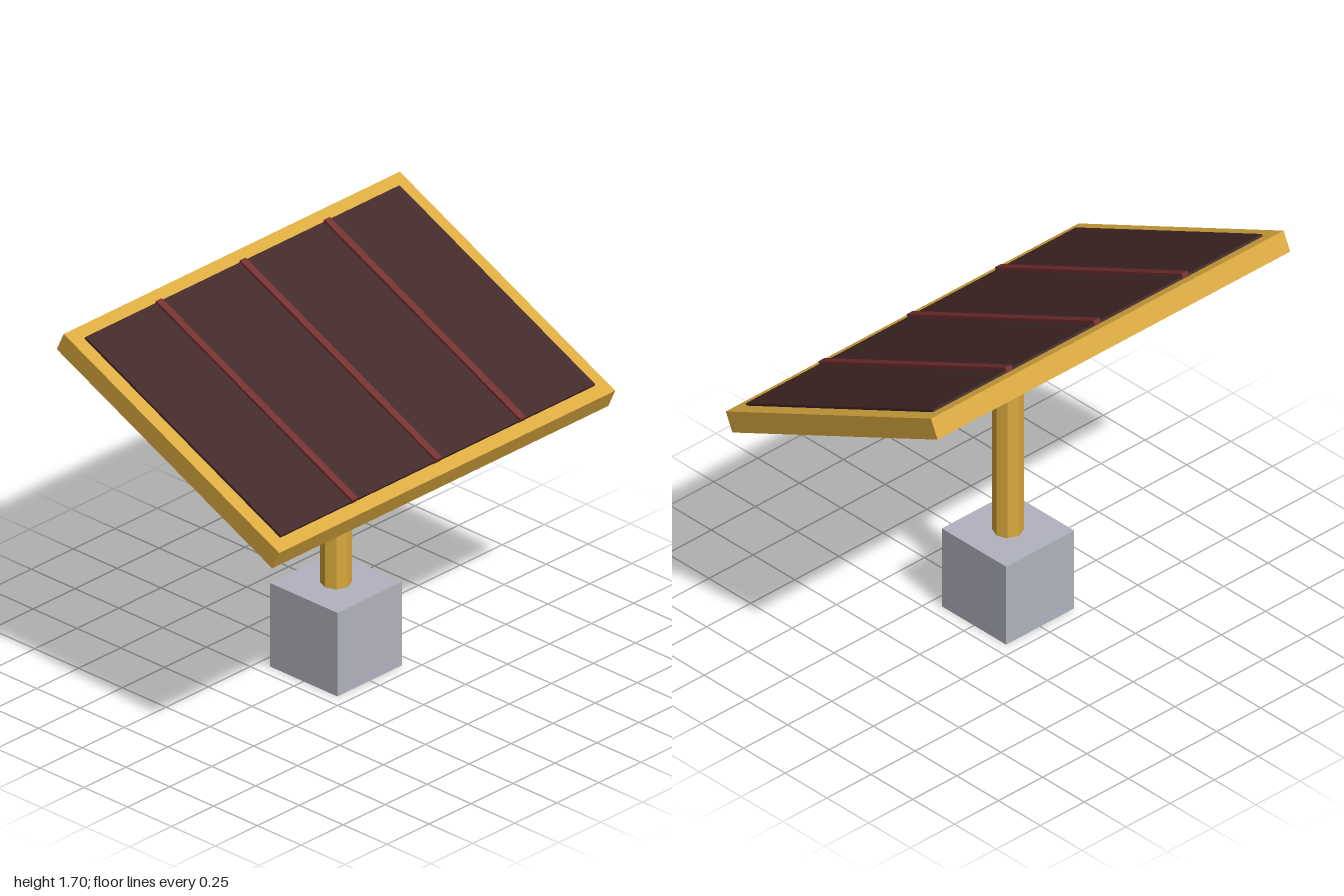
import * as THREE from 'three';

const material = (name, color) => {
  const m = new THREE.MeshStandardMaterial({ color });
  m.name = name;
  return m;
};

export function createModel() {
  const gold = material('golden metal', 0xdaa93e);
  const concrete = material('grey concrete', 0xb1b3be);
  const dark = material('dark panel', 0x402525);
  const red = material('dull red trim', 0x722d2d);

  const model = new THREE.Group();
  model.name = 'solarPanel';

  const box = (parent, name, mat, size, pos) => {
    const mesh = new THREE.Mesh(new THREE.BoxGeometry(...size), mat);
    mesh.name = name;
    mesh.position.set(...pos);
    parent.add(mesh);
  };

  // Cube footing
  box(model, 'base', concrete, [0.386, 0.388, 0.386], [0, 0.194, 0]);

  // Eight-sided post, ending just under the tilted frame
  const postShape = new THREE.CylinderGeometry(0.065, 0.065, 0.91, 8).toNonIndexed();
  postShape.computeVertexNormals();
  const post = new THREE.Mesh(postShape, gold);
  post.name = 'post';
  post.position.y = 0.835;
  model.add(post);

  // Tilted head: slab frame, raised panel and three dividers
  const head = new THREE.Group();
  head.name = 'tiltedHead';
  head.position.y = 1.375;
  head.rotation.x = THREE.MathUtils.degToRad(25);
  model.add(head);

  box(head, 'frame', gold, [2, 0.094, 1.357], [0, 0, 0]);
  box(head, 'panel', dark, [1.87, 0.03, 1.232], [0, 0.043, 0]);
  for (const x of [-0.5, 0, 0.5]) {
    box(head, 'divider', red, [0.034, 0.03, 1.236], [x, 0.055, 0]);
  }

  return model;
}
